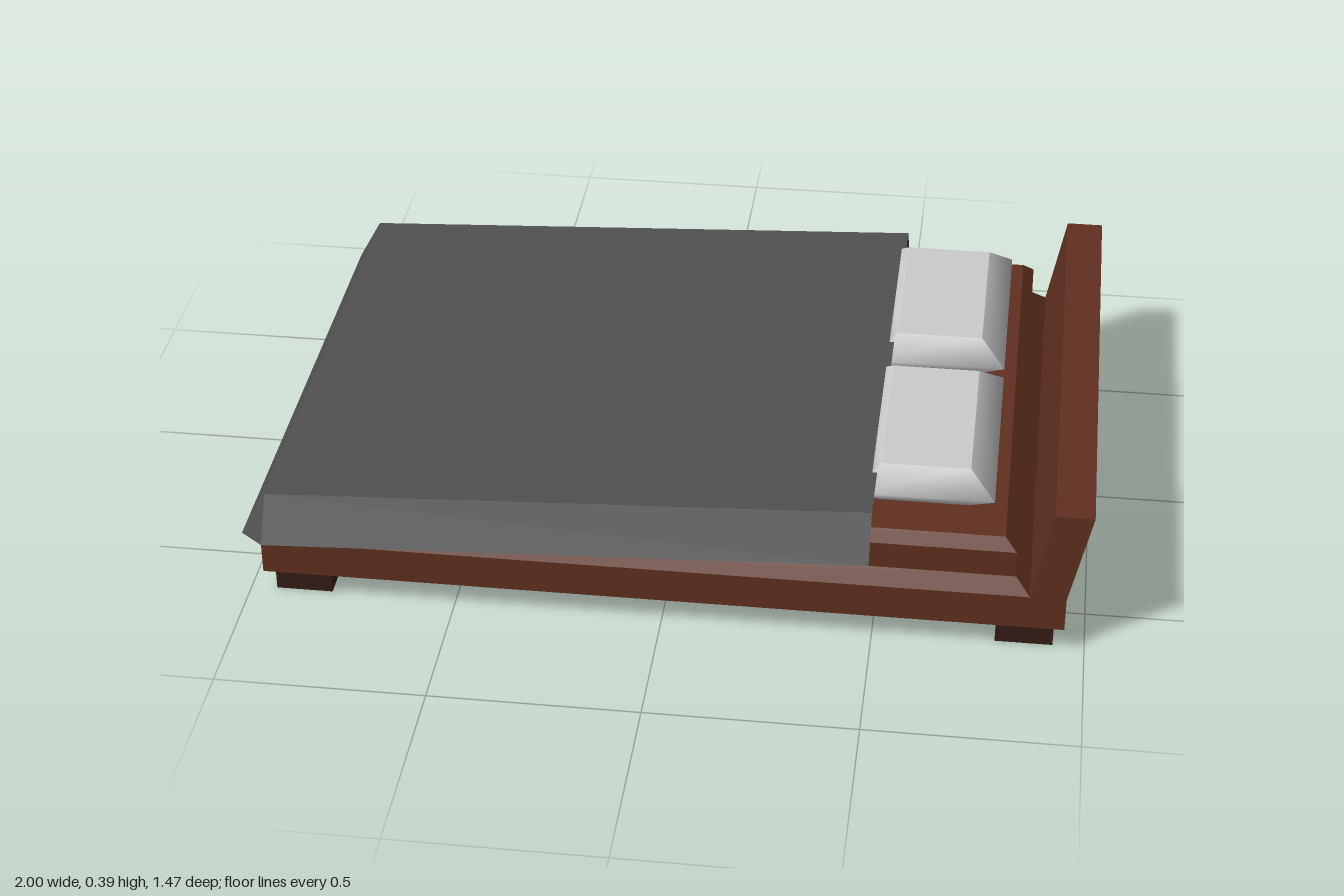
import * as THREE from 'three';

const mat = (color) => new THREE.MeshStandardMaterial({ color });
const wood = mat(0x60301f);
const darkWood = mat(0x351d16);
const linen = mat(0xcccccc);
const cloth = mat(0x505050);
cloth.side = THREE.DoubleSide;

// Stacked rectangles [x0, x1, z0, z1, y], bottom to top, capped at both ends.
// Each of the four sides has its own vertices, so only the folds within a side can be smooth.
function loft(rings, smooth = false) {
  const pos = [], idx = [];
  const corners = ([x0, x1, z0, z1, y]) => [[x0, y, z0], [x0, y, z1], [x1, y, z1], [x1, y, z0]];
  const loops = rings.map(corners);
  for (let k = 0; k < 4; k++) {
    const s = pos.length / 3;
    loops.forEach((l) => pos.push(...l[k], ...l[(k + 1) % 4]));
    for (let r = 0; r < loops.length - 1; r++) {
      const a = s + r * 2;
      idx.push(a, a + 1, a + 3, a, a + 3, a + 2);
    }
  }
  const b = pos.length / 3;
  pos.push(...loops[0].flat(), ...loops[loops.length - 1].flat());
  idx.push(b, b + 2, b + 1, b, b + 3, b + 2, b + 4, b + 5, b + 6, b + 4, b + 6, b + 7);
  return finish(pos, idx, smooth);
}

function finish(pos, idx, smooth) {
  let g = new THREE.BufferGeometry();
  g.setAttribute('position', new THREE.Float32BufferAttribute(pos, 3));
  g.setIndex(idx);
  if (!smooth) g = g.toNonIndexed();
  g.computeVertexNormals();
  return g;
}

export function createModel() {
  const bed = new THREE.Group();
  bed.name = 'bed';
  const add = (name, geometry, material) => {
    const m = new THREE.Mesh(geometry, material);
    m.name = name;
    bed.add(m);
    return m;
  };

  // Base frame with bevelled upper rim
  const Z0 = -0.705, Z1 = 0.66;
  add('frame', loft([[-0.96, 0.95, Z0, Z1, 0.068], [-0.96, 0.95, Z0, Z1, 0.155]]), wood);
  add('frameBevel', loft([
    [-0.96, 0.865, Z0, Z1, 0.155],
    [-0.925, 0.828, Z0 + 0.035, Z1 - 0.035, 0.19],
  ]), wood);

  // Mattress with bevelled top edge
  add('mattress', loft([
    [-0.925, 0.828, Z0 + 0.03, Z1 - 0.03, 0.19],
    [-0.925, 0.828, Z0 + 0.03, Z1 - 0.03, 0.257],
    [-0.9, 0.8, Z0 + 0.055, Z1 - 0.055, 0.283],
  ]), wood);

  // Headboard leaning outwards
  add('headboard', loft([
    [0.865, 0.95, Z0, Z1, 0.155],
    [0.91, 1.0, Z0, Z1, 0.387],
  ]), wood);

  // Four block legs
  for (const x of [-0.87, 0.858]) {
    for (const z of [-0.603, 0.563]) {
      const leg = add('leg', new THREE.BoxGeometry(0.136, 0.068, 0.136), darkWood);
      leg.position.set(x, 0.034, z);
    }
  }

  // Two pillows, pinched at mid height
  for (const z of [-0.585, 0]) {
    const outer = [0.44, 0.77, z, z + 0.545];
    const inner = [0.5, 0.71, z + 0.057, z + 0.488];
    add('pillow', loft([[...inner, 0.283], [...outer, 0.335], [...inner, 0.386]], true), linen);
  }

  // Blanket: sloping sheet with flared flaps on the sides and foot
  const pts = [
    [0.492, 0.37, -0.63], [-0.937, 0.302, -0.63], [-0.937, 0.302, 0.672], [0.492, 0.37, 0.672],
    [0.492, 0.265, -0.737], [-0.937, 0.199, -0.737], [-0.937, 0.199, 0.735], [0.492, 0.265, 0.735],
    [-1, 0.185, -0.65], [-1, 0.185, 0.672],
  ];
  const faces = [
    0, 1, 2, 0, 2, 3, // top
    2, 6, 7, 2, 7, 3, // front flap
    1, 0, 4, 1, 4, 5, // back flap
    1, 8, 9, 1, 9, 2, // foot flap
    2, 9, 6, 1, 5, 8, // corners
  ];
  add('blanket', finish(pts.flat(), faces, false), cloth);

  return bed;
}
